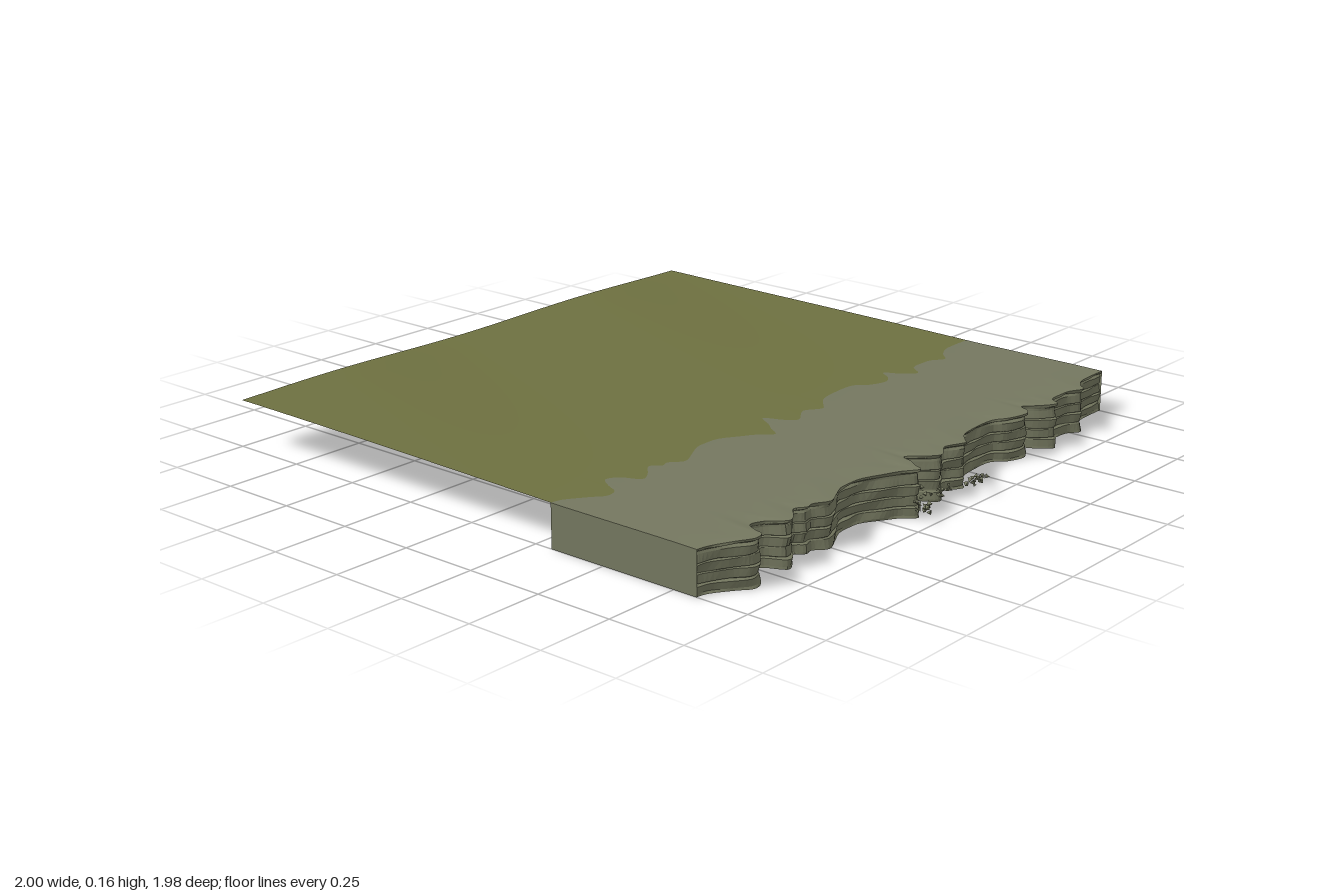
import * as THREE from 'three';
import { mergeGeometries } from 'three/addons/utils/BufferGeometryUtils.js';

const mat = (name, color) => new THREE.MeshStandardMaterial({ name, color, side: THREE.DoubleSide });

// Cliff outline as [x, z] pairs, left to right
const EDGE = [
  -1, .83, -.96, .84, -.9, .88, -.86, .91, -.82, .9, -.8, .86, -.77, .82, -.73, .84, -.7, .895, -.66, .88,
  -.61, .84, -.58, .865, -.55, .86, -.51, .89, -.46, .87, -.4, .84, -.35, .835, -.3, .84, -.24, .875,
  -.2, .9, -.16, .94, -.13, .9, -.1, .865, -.07, .82, -.04, .88, -.01, .91, .04, .88, .07, .87, .12, .9,
  .15, .88, .2, .845, .28, .833, .36, .835, .4, .87, .46, .89, .5, .87, .53, .83, .56, .88, .6, .915,
  .64, .87, .7, .865, .74, .87, .78, .895, .82, .86, .87, .835, .93, .83, 1, .83,
];
const LEDGE_DEPTH = 0.52;
const BACK_Z = -0.99;

// Surface through rows x columns; point(i, j) returns [x, y, z]
function surface(columns, rows, point) {
  const positions = [], index = [];
  for (let j = 0; j < rows; j++) {
    for (let i = 0; i < columns; i++) positions.push(...point(i, j));
  }
  for (let j = 0; j < rows - 1; j++) {
    for (let i = 0; i < columns - 1; i++) {
      const a = j * columns + i, b = a + 1, c = a + columns, d = c + 1;
      index.push(a, c, b, b, c, d);
    }
  }
  const geometry = new THREE.BufferGeometry();
  geometry.setAttribute('position', new THREE.Float32BufferAttribute(positions, 3));
  geometry.setIndex(index);
  geometry.computeVertexNormals();
  return geometry;
}

export function createModel() {
  const group = new THREE.Group();
  const grass = mat('grass', 0x6d7040);
  const stone = mat('stone', 0x74775f);
  const grey = mat('bare underside', 0x6c6c6c);
  const add = (name, geometry, material) => {
    const mesh = new THREE.Mesh(geometry, material);
    mesh.name = name;
    group.add(mesh);
  };

  const corners = [];
  for (let i = 0; i < EDGE.length; i += 2) corners.push(new THREE.Vector2(EDGE[i], EDGE[i + 1]));
  const edge = new THREE.SplineCurve(corners).getPoints((corners.length - 1) * 4);
  const n = edge.length;

  // Gently rolling ground height
  const ground = (x, z) => {
    const t = THREE.MathUtils.clamp((0.35 - z) / 1.3, 0, 1);
    return 0.135 + 0.018 * t + 0.004 * t * Math.sin(5.5 * x + 2 * z + 0.8);
  };
  // The ledge lifts slightly where the rim bulges forward
  const ledgeY = (p, z) => {
    const lip = THREE.MathUtils.smoothstep(z, p.y - 0.12, p.y);
    return ground(p.x, z) + lip * (p.y - 0.84) * 0.12;
  };

  // Grass sheet
  add('grassField', surface(n, 25, (i, j) => {
    const p = edge[i];
    const z = THREE.MathUtils.lerp(BACK_Z, p.y - LEDGE_DEPTH, j / 24);
    return [p.x, ground(p.x, z), z];
  }), grass);

  // Rock ledge top
  add('rockLedge', surface(n, 15, (i, j) => {
    const p = edge[i];
    const z = p.y - LEDGE_DEPTH * (1 - j / 14);
    return [p.x, ledgeY(p, z), z];
  }), stone);

  // Layered cliff face: [height fraction, inset] from the rim down
  const strata = [[1, 0], [.95, .002], [.91, .012], [.86, .008], [.69, .006], [.67, .013], [.65, .005],
    [.47, .007], [.45, .014], [.43, .006], [.25, .008], [.23, .014], [.2, .004], [.05, .004], [0, .002]];
  const face = surface(n, strata.length, (i, j) => {
    const p = edge[i];
    const [h, inset] = strata[j];
    const wear = j === 0 || j === strata.length - 1 ? 0
      : 0.005 * Math.sin(p.x * 41 + j * 1.9) * Math.sin(p.x * 17 - j);
    return [p.x, h * ledgeY(p, p.y), p.y - inset + wear];
  }).toNonIndexed();
  face.computeVertexNormals();
  add('cliffFace', face, stone);

  // Block ends
  for (const [name, k] of [['rightEnd', 0], ['leftEnd', n - 1]]) {
    const p = edge[k];
    add(name, surface(15, 2, (i, j) => {
      const z = p.y - LEDGE_DEPTH * (1 - i / 14);
      return [p.x, j ? 0 : ledgeY(p, z), z];
    }), stone);
  }

  // Hidden back wall and base of the block
  add('backWall', surface(n, 2, (i, j) => {
    const p = edge[i], z = p.y - LEDGE_DEPTH;
    return [p.x, j ? ground(p.x, z) : 0, z];
  }), grey);
  add('blockBase', surface(n, 2, (i, j) =>
    [edge[i].x, 0, edge[i].y - (j ? LEDGE_DEPTH : 0.002)]), grey);

  // Little rubble clusters in front of the cliff
  let seed = 7;
  const random = () => (seed = (seed * 16807) % 2147483647) / 2147483647;
  const chips = [];
  for (const [x, z, count] of [[-.17, .955, 16], [-.07, .86, 14], [-.02, .92, 8], [.115, .945, 16]]) {
    for (let i = 0; i < count; i++) {
      const chip = new THREE.TetrahedronGeometry(0.006 + 0.005 * random());
      chip.rotateX(random() * 6).rotateY(random() * 6);
      chip.translate(x + (random() - .5) * .04, .04 + (random() - .5) * .035, z + (random() - .5) * .055);
      chips.push(chip);
    }
  }
  add('rubble', mergeGeometries(chips), stone);

  return group;
}
